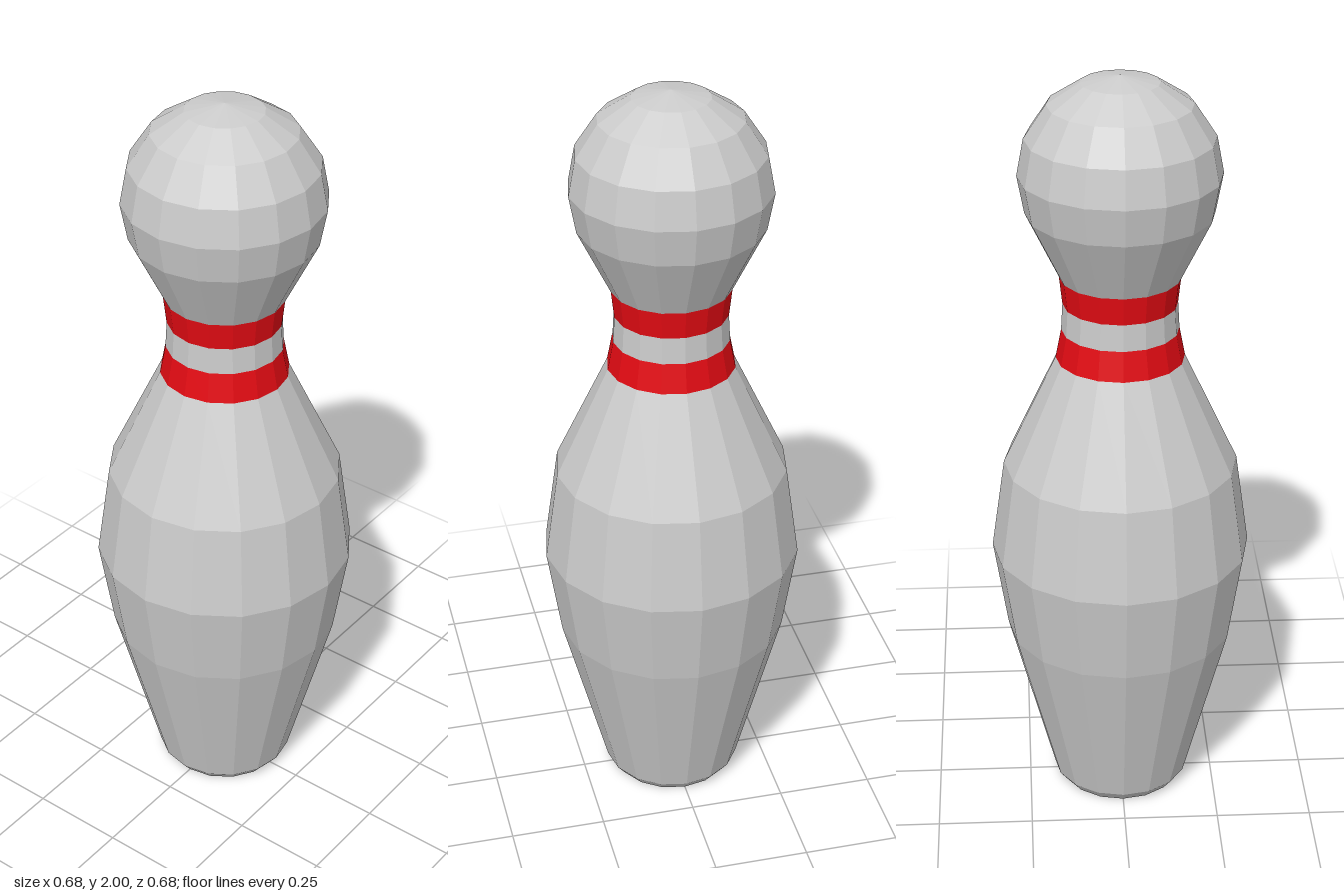
import * as THREE from 'three';

const SIDES = 16;
const grey = new THREE.MeshStandardMaterial({ color: 0xcccccc, flatShading: true });
const red = new THREE.MeshStandardMaterial({ color: 0xe30b13, flatShading: true });

// Faceted ring section turned from [radius, height] pairs, bottom to top
function turned(name, profile, material) {
  const points = profile.map(([r, y]) => new THREE.Vector2(r, y));
  const mesh = new THREE.Mesh(new THREE.LatheGeometry(points, SIDES), material);
  mesh.name = name;
  return mesh;
}

export function createModel() {
  const group = new THREE.Group();
  group.name = 'bowlingPin';

  // Rings shared by neighbouring sections
  const lowerBandBottom = [0.165, 1.26];
  const lowerBandTop = [0.15, 1.337];
  const upperBandBottom = [0.146, 1.407];
  const upperBandTop = [0.154, 1.48];

  group.add(
    // Closed flat base, bevel, belly and shoulder
    turned('body', [
      [0, 0], [0.16, 0], [0.182, 0.028], [0.301, 0.48],
      [0.338, 0.72], [0.303, 0.965], lowerBandBottom,
    ], grey),
    turned('lowerBand', [lowerBandBottom, lowerBandTop], red),
    turned('neck', [lowerBandTop, upperBandBottom], grey),
    turned('upperBand', [upperBandBottom, upperBandTop], red),
    // Rounded head
    turned('head', [
      upperBandTop, [0.237, 1.65], [0.255, 1.748], [0.237, 1.843],
      [0.181, 1.928], [0.098, 1.982], [0, 2],
    ], grey),
  );
  return group;
}
